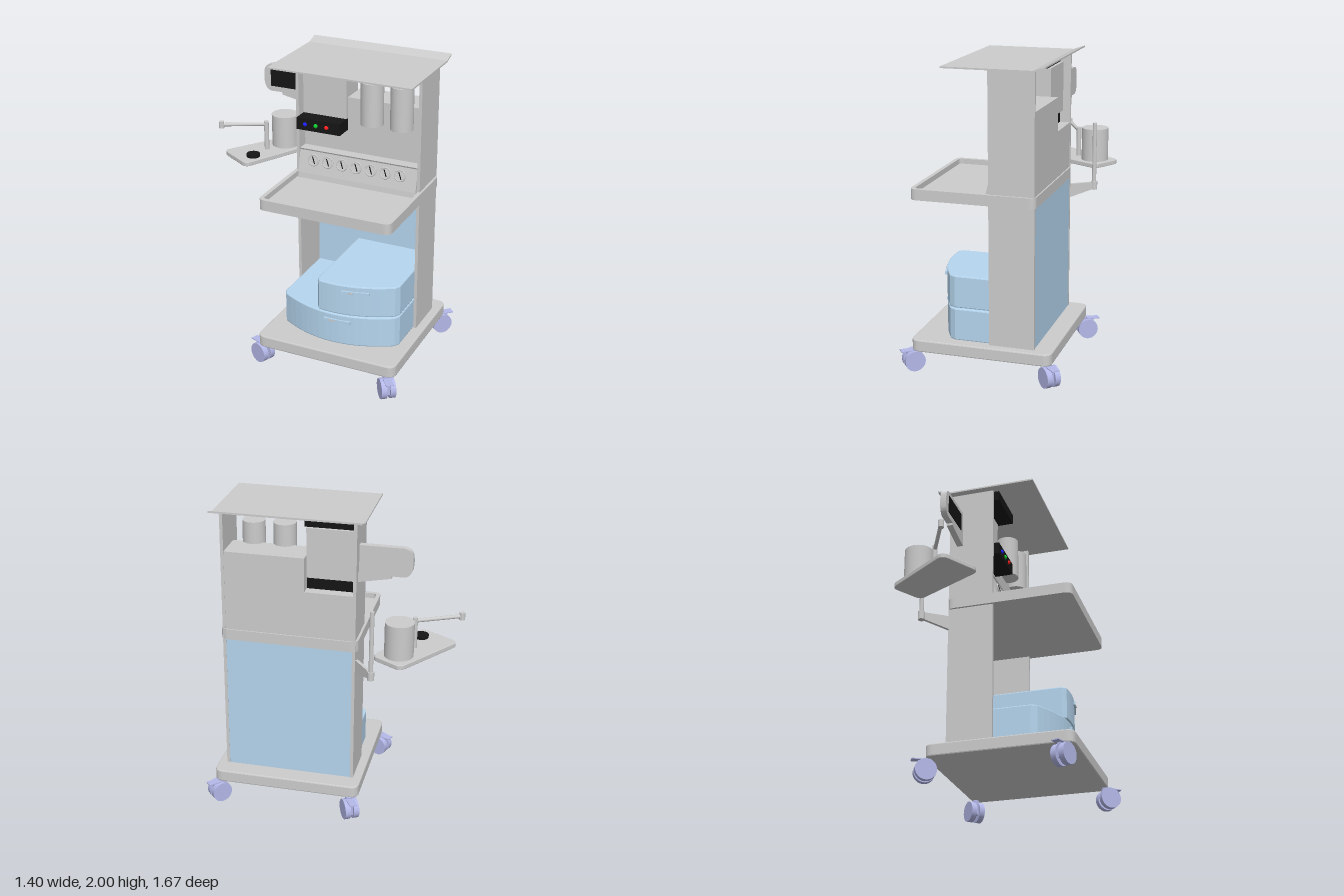
import * as THREE from 'three';
import { RoundedBoxGeometry } from 'three/addons/geometries/RoundedBoxGeometry.js';

const mat = (color) => new THREE.MeshStandardMaterial({ color });
const GREY = mat(0xcccccc), BLUE = mat(0xb5d5ee), LILAC = mat(0xb4b8e8), BLACK = mat(0x151515);

function add(parent, name, geometry, material = GREY, pos = [0, 0, 0]) {
  const m = new THREE.Mesh(geometry, material);
  m.name = name;
  m.position.set(...pos);
  parent.add(m);
  return m;
}

// Box given by its limits on each axis
function block(parent, name, x0, x1, y0, y1, z0, z1, material, r = 0) {
  const s = [x1 - x0, y1 - y0, z1 - z0];
  const g = r ? new RoundedBoxGeometry(...s, 3, r) : new THREE.BoxGeometry(...s);
  return add(parent, name, g, material, [(x0 + x1) / 2, (y0 + y1) / 2, (z0 + z1) / 2]);
}

// Upright cylinder from y0 to y1
function post(parent, name, x, z, r, y0, y1, material) {
  return add(parent, name, new THREE.CylinderGeometry(r, r, y1 - y0, 32), material, [x, (y0 + y1) / 2, z]);
}

// Cylinder between two points
function rod(parent, name, a, b, r) {
  const p = new THREE.Vector3(...a), q = new THREE.Vector3(...b), d = q.clone().sub(p);
  const m = add(parent, name, new THREE.CylinderGeometry(r, r, d.length(), 16));
  m.position.copy(p).add(q).multiplyScalar(0.5);
  m.quaternion.setFromUnitVectors(new THREE.Vector3(0, 1, 0), d.normalize());
  return m;
}

// Rounded rectangle in plan; shape y is -z
function planRect(x0, x1, z0, z1, r, ShapeType = THREE.Shape) {
  const s = new ShapeType(), b = -z1, t = -z0;
  s.moveTo(x0 + r, b);
  s.lineTo(x1 - r, b); s.quadraticCurveTo(x1, b, x1, b + r);
  s.lineTo(x1, t - r); s.quadraticCurveTo(x1, t, x1 - r, t);
  s.lineTo(x0 + r, t); s.quadraticCurveTo(x0, t, x0, t - r);
  s.lineTo(x0, b + r); s.quadraticCurveTo(x0, b, x0 + r, b);
  return s;
}

// Plan shape raised from y0 to y1, edges softened by a bevel
function slab(shape, y0, y1, bevel = 0) {
  const g = new THREE.ExtrudeGeometry(shape, {
    depth: y1 - y0 - 2 * bevel, curveSegments: 10, bevelEnabled: bevel > 0,
    bevelSize: bevel, bevelThickness: bevel, bevelOffset: -bevel, bevelSegments: 2,
  });
  return g.rotateX(-Math.PI / 2).translate(0, y0 + bevel, 0);
}

// Side profile of [z, y] points stretched from x0 to x1
function across(points, x0, x1) {
  const shape = new THREE.Shape(points.map((p) => new THREE.Vector2(...p)));
  return new THREE.ExtrudeGeometry(shape, { depth: x1 - x0, bevelEnabled: false })
    .rotateY(-Math.PI / 2).translate(x1, 0, 0);
}

const X0 = -0.345, X1 = 0.51;     // outer faces of the side panels
const BACK = -0.24, FRONT = 0.053; // depth of the side panels

// Bowed front line shared by both drawers
const bow = (x) => 0.44 - 0.13 * ((x - 0.083) / 0.41) ** 2;

function drawer(parent, name, x0, x1, y0, y1, handleX) {
  const g = new THREE.Group();
  g.name = name;
  const pts = [new THREE.Vector2(x1, -BACK - 0.02), new THREE.Vector2(x0, -BACK - 0.02)];
  pts.push(new THREE.Vector2(x0, 0.025 - bow(x0)));
  for (let i = 0; i <= 16; i++) {
    const x = x0 + 0.02 + (x1 - x0 - 0.04) * i / 16;
    pts.push(new THREE.Vector2(x, -bow(x)));
  }
  pts.push(new THREE.Vector2(x1, 0.025 - bow(x1)));
  add(g, name + 'Body', slab(new THREE.Shape(pts), y0, y1, 0.008), BLUE);
  const h = block(g, name + 'Handle', -0.09, 0.09, y1 - 0.055, y1 - 0.035, -0.012, 0.006, BLUE);
  h.position.x = handleX;
  h.position.z = bow(handleX);
  h.rotation.y = Math.atan(0.26 * (handleX - 0.083) / 0.168);
  const slot = block(g, name + 'Latch', -0.025, 0.025, y1 - 0.05, y1 - 0.04, -0.005, 0.012, GREY);
  slot.position.x = handleX - 0.04;
  slot.position.z = bow(handleX - 0.04) + 0.003;
  parent.add(g);
}

// Twin-wheel caster rolling towards (dx, dz)
function caster(parent, x, z, dx, dz) {
  const g = new THREE.Group();
  g.name = 'caster';
  for (const s of [-1, 1]) {
    const w = add(g, 'wheel', new THREE.CylinderGeometry(0.067, 0.067, 0.036, 28), LILAC, [s * 0.028, 0.067, 0]);
    w.rotation.z = Math.PI / 2;
  }
  block(g, 'fork', -0.012, 0.012, 0.04, 0.13, -0.045, 0.045, LILAC);
  post(g, 'stem', 0, -0.02, 0.022, 0.08, 0.145, LILAC);
  block(g, 'brakePedal', -0.025, 0.025, 0.131, 0.137, 0, 0.085, LILAC);
  g.position.set(x, 0, z);
  g.rotation.y = Math.atan2(dx, dz);
  parent.add(g);
}

function buildCart() {
  const cart = new THREE.Group();
  cart.name = 'cart';

  // Base, frame and roof
  add(cart, 'base', slab(planRect(-0.4, 0.565, -0.36, 0.565, 0.06), 0.14, 0.22, 0.008));
  block(cart, 'rightPanel', X0, X0 + 0.02, 0.22, 1.968, BACK, FRONT);
  block(cart, 'leftPanel', X1 - 0.02, X1, 0.22, 1.968, BACK, FRONT);
  block(cart, 'lowerBackPanel', X0 + 0.02, X1 - 0.02, 0.22, 1.13, BACK + 0.002, BACK + 0.02, BLUE);
  add(cart, 'roof', across([[0.335, 1.965], [0.335, 1.975], [-0.24, 1.975], [-0.315, 2], [-0.315, 1.99], [-0.24, 1.965]], -0.39, 0.555));

  // Work tray with raised rim
  const rim = planRect(-0.36, 0.525, -0.247, 0.565, 0.05);
  add(cart, 'trayFloor', slab(rim, 1.13, 1.165));
  const ring = planRect(-0.36, 0.525, -0.247, 0.565, 0.05);
  ring.holes.push(planRect(-0.333, 0.498, -0.2, 0.538, 0.03, THREE.Path));
  add(cart, 'trayRim', slab(ring, 1.165, 1.2));

  // Drawers
  drawer(cart, 'lowerDrawer', X0 + 0.02, X1 - 0.02, 0.22, 0.432, 0.12);
  drawer(cart, 'upperDrawer', -0.03, X1 - 0.02, 0.438, 0.65, 0.24);

  // Rear housing, stepped down at the right
  block(cart, 'lowHousing', X0 + 0.02, X1 - 0.02, 1.165, 1.5, BACK + 0.002, -0.03);
  block(cart, 'tallHousing', -0.02, X1 - 0.02, 1.5, 1.72, BACK + 0.002, -0.03);

  // Sloping gauge console
  add(cart, 'gaugeConsole', across([[-0.03, 1.165], [0.08, 1.165], [0.075, 1.2], [0.04, 1.345], [0.045, 1.355], [-0.03, 1.355]], X0 + 0.02, X1 - 0.02));
  for (let i = 0; i < 7; i++) {
    const g = new THREE.Group();
    g.name = 'gauge';
    const dial = add(g, 'dial', new THREE.CylinderGeometry(0.034, 0.034, 0.01, 24), mat(0xf4f4f4));
    dial.rotation.x = Math.PI / 2;
    add(g, 'bezel', new THREE.TorusGeometry(0.035, 0.005, 8, 28), GREY, [0, 0, 0.004]);
    const needle = block(g, 'needle', -0.003, 0.003, -0.025, 0.025, 0.004, 0.008, BLACK);
    needle.rotation.z = 0.4;
    g.position.set(-0.222 + i * 0.1, 1.29, 0.055);
    g.rotation.x = -0.24;
    cart.add(g);
  }

  // Two canisters on the tall housing
  for (const x of [0.16, 0.36]) post(cart, 'canister', x, 0.0, 0.073, 1.58, 1.86);

  // Control unit with indicator lights
  block(cart, 'controlBase', -0.325, -0.022, 1.5, 1.578, -0.17, 0.088, BLACK);
  block(cart, 'controlBody', -0.325, -0.022, 1.578, 1.9, -0.19, -0.015);
  block(cart, 'controlHood', -0.325, -0.005, 1.9, 1.965, -0.17, 0.088, BLACK);
  [0x2020ff, 0x10d030, 0xff2020].forEach((c, i) =>
    add(cart, 'indicatorLight', new THREE.SphereGeometry(0.014, 16, 10), mat(c), [-0.265 + i * 0.075, 1.54, 0.088]));

  // Display on the right panel, standing out sideways
  const s = new THREE.Shape();
  s.moveTo(-0.35, 1.64); s.lineTo(-0.62, 1.635);
  s.quadraticCurveTo(-0.66, 1.635, -0.675, 1.68);
  s.quadraticCurveTo(-0.685, 1.73, -0.675, 1.78);
  s.quadraticCurveTo(-0.665, 1.815, -0.62, 1.82);
  s.lineTo(-0.35, 1.82);
  const thin = { depth: 0.04, bevelEnabled: false, curveSegments: 8 };
  add(cart, 'display', new THREE.ExtrudeGeometry(s, thin), GREY, [0, 0, -0.19]);
  block(cart, 'displayScreen', -0.63, -0.39, 1.67, 1.79, -0.151, -0.147, BLACK);
  const b = new THREE.Shape();
  b.moveTo(-0.345, 1.58); b.lineTo(-0.345, 1.64); b.lineTo(-0.55, 1.64); b.lineTo(-0.55, 1.62);
  add(cart, 'displayBracket', new THREE.ExtrudeGeometry(b, thin), GREY, [0, 0, -0.19]);
  return cart;
}

// Swing-out shelf with its fittings
function buildSideShelf() {
  const g = new THREE.Group();
  g.name = 'sideShelf';
  const plate = add(g, 'shelfPlate', slab(planRect(-0.26, 0.26, -0.128, 0.128, 0.045), 1.16, 1.19, 0.004));
  // Taper the plate towards its outer end and turn it
  const p = plate.geometry.attributes.position;
  for (let i = 0; i < p.count; i++) p.setZ(i, p.getZ(i) * (1 - 0.12 * (p.getX(i) / 0.26)));
  plate.geometry.computeVertexNormals();
  plate.position.set(-0.295, 0, -0.675);
  plate.rotation.y = 0.17;

  post(g, 'jar', -0.155, -0.7, 0.09, 1.19, 1.41);
  post(g, 'blackKnob', -0.435, -0.585, 0.045, 1.19, 1.21, BLACK);
  post(g, 'armPost', -0.303, -0.67, 0.016, 1.19, 1.39);
  rod(g, 'swingArm', [-0.303, 1.368, -0.67], [-0.58, 1.368, -0.787], 0.012);
  post(g, 'armEnd', -0.58, -0.787, 0.018, 1.345, 1.392);
  post(g, 'shelfPole', -0.022, -0.6, 0.014, 1.02, 1.475);

  // Tapered wall bracket carrying the pole
  const s = new THREE.Shape();
  s.moveTo(0, 0.985); s.lineTo(0.18, 1.025); s.lineTo(0.18, 1.07); s.lineTo(0.03, 1.075); s.lineTo(0, 1.075);
  const geo = new THREE.ExtrudeGeometry(s, { depth: 0.02, bevelEnabled: false }).translate(0, 0, -0.01);
  const bracket = add(g, 'shelfBracket', geo, GREY, [-0.052, 0, -0.42]);
  bracket.rotation.y = Math.PI / 2 - 0.16;
  post(g, 'bracketSleeve', -0.022, -0.6, 0.022, 1.02, 1.075);
  return g;
}

export function createModel() {
  const model = new THREE.Group();
  model.name = 'medicalCart';
  const cart = buildCart();
  cart.rotation.y = -0.864;
  model.add(cart, buildSideShelf());
  caster(model, 0.61, 0.18, 1, 0.1);
  caster(model, -0.09, 0.76, -0.2, 1);
  caster(model, 0.05, -0.505, 0.35, -1);
  caster(model, -0.635, 0.025, -0.35, -1);
  return model;
}
